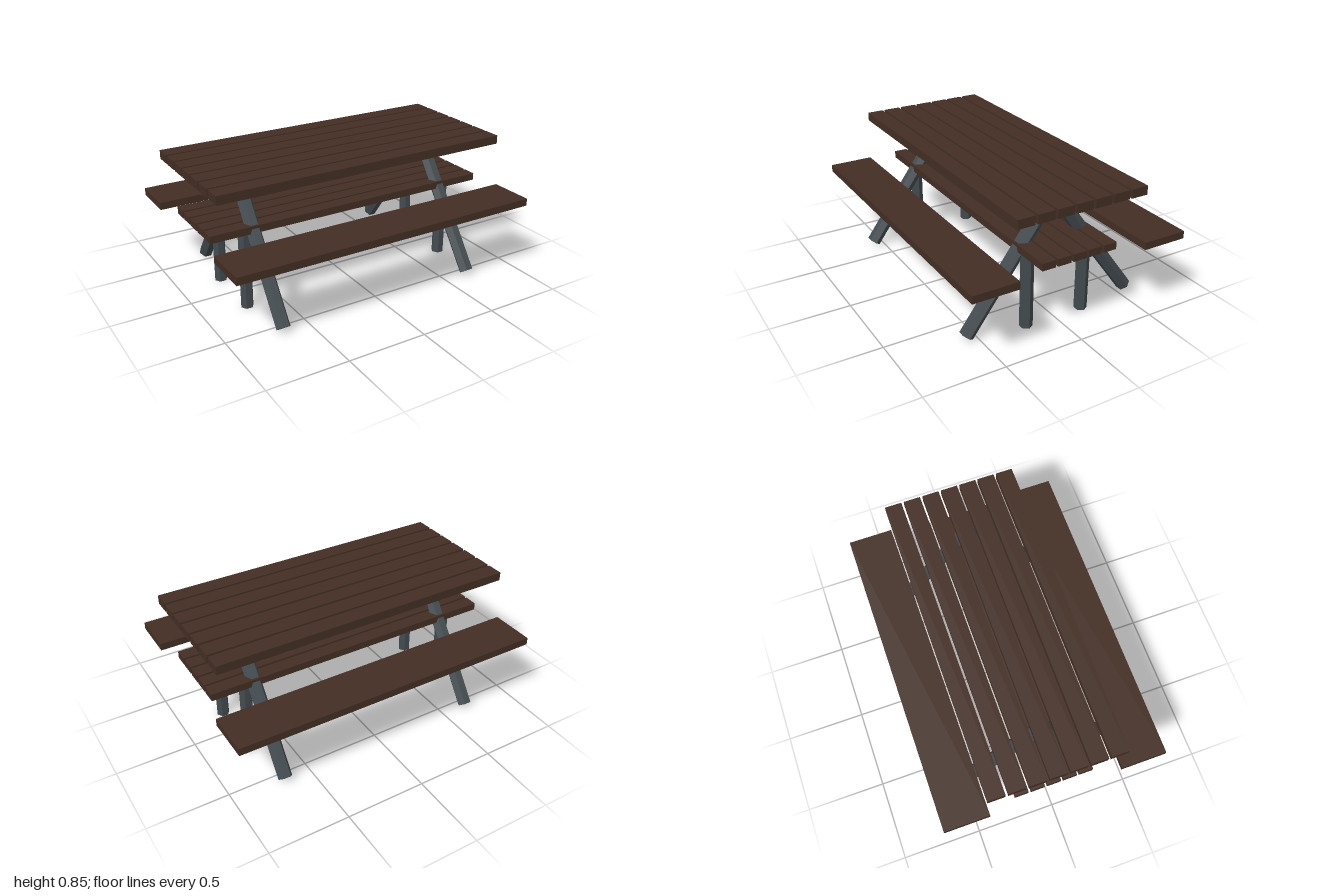
import * as THREE from 'three';

export function createModel() {
  const wood = new THREE.MeshStandardMaterial({ color: 0x432e24 });
  wood.name = 'dark wood';
  const metal = new THREE.MeshStandardMaterial({ color: 0x434b50, flatShading: true });
  metal.name = 'grey leg';

  const model = new THREE.Group();
  model.name = 'picnicTable';

  const board = (name, length, y0, y1, width, z) => {
    const mesh = new THREE.Mesh(new THREE.BoxGeometry(length, y1 - y0, width), wood);
    mesh.name = name;
    mesh.position.set(0, (y0 + y1) / 2, z);
    model.add(mesh);
  };

  // Six-sided post between two points, with corners towards +x and -x
  const post = (name, radius, from, to) => {
    const axis = to.clone().sub(from);
    const geometry = new THREE.CylinderGeometry(radius, radius, axis.length(), 6);
    geometry.rotateY(Math.PI / 6);
    const mesh = new THREE.Mesh(geometry, metal);
    mesh.name = name;
    mesh.position.copy(from).add(to).multiplyScalar(0.5);
    mesh.quaternion.setFromUnitVectors(new THREE.Vector3(0, 1, 0), axis.normalize());
    model.add(mesh);
  };

  // Table top: seven slats
  for (let i = -3; i <= 3; i++) board('topSlat', 1.942, 0.798, 0.853, 0.107, i * 0.1228);

  // Lower shelf: five narrower slats
  for (let i = -2; i <= 2; i++) board('shelfSlat', 1.898, 0.495, 0.541, 0.087, i * 0.102);

  for (const side of [-1, 1]) {
    // Bench seat
    board('benchSeat', 2, 0.464, 0.511, 0.287, side * 0.5625);

    // Slanted legs meeting under the top, and upright legs under the shelf
    for (const x of [-1, 1]) {
      post('slantedLeg', 0.045,
        new THREE.Vector3(x * 0.667, 0.028, side * 0.564),
        new THREE.Vector3(x * 0.667, 0.795, 0));
      post('uprightLeg', 0.04,
        new THREE.Vector3(x * 0.719, 0.004, side * 0.195),
        new THREE.Vector3(x * 0.719, 0.5, side * 0.195));
    }
  }

  return model;
}
